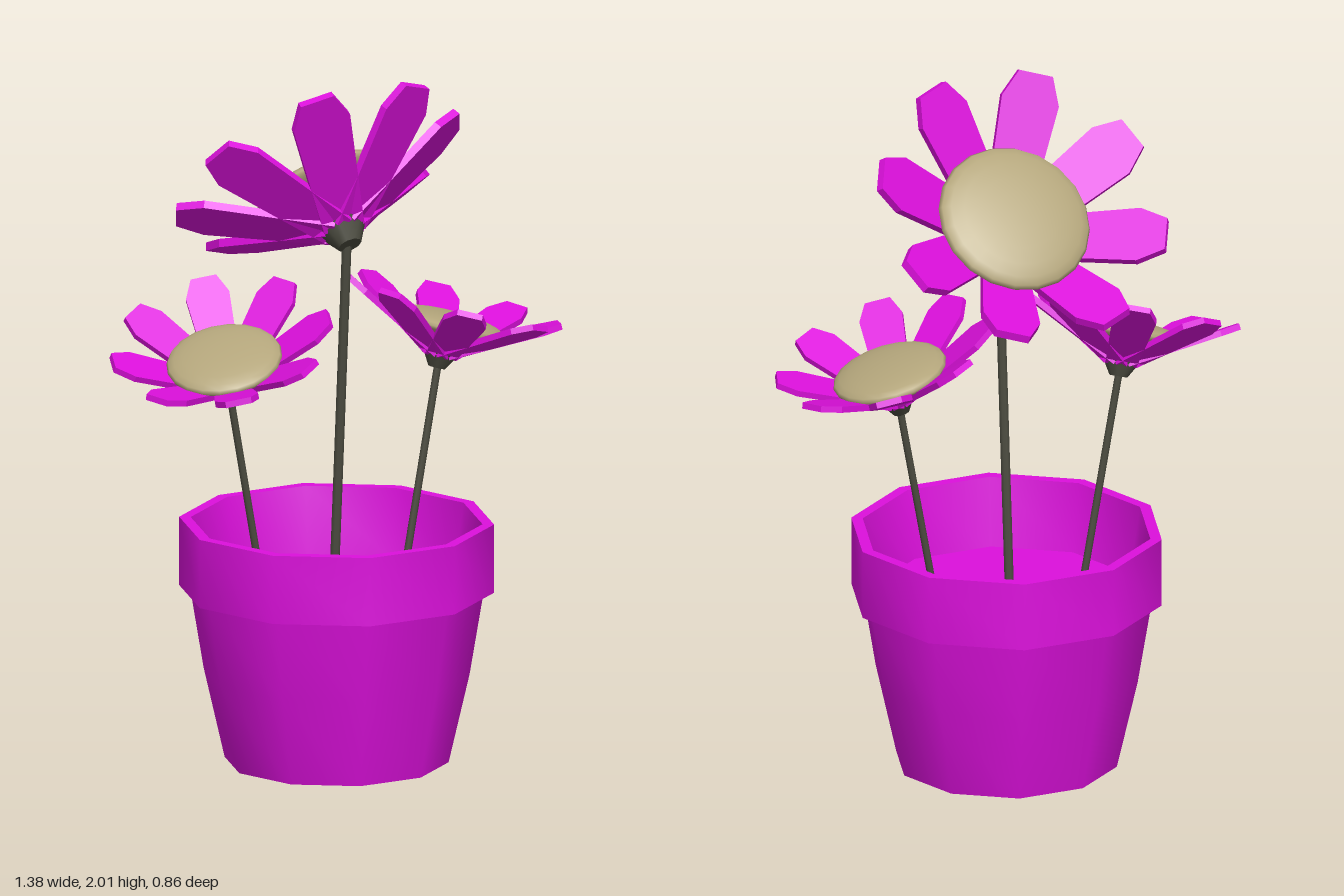
import * as THREE from 'three';
import { toCreasedNormals } from 'three/addons/utils/BufferGeometryUtils.js';

const material = (name, color) => {
  const m = new THREE.MeshStandardMaterial({ color });
  m.name = name;
  return m;
};
const magenta = material('magenta', 0xdc10dc);
const tan = material('tan', 0xb3a57b);
const olive = material('darkOlive', 0x4c4c40);
const UP = new THREE.Vector3(0, 1, 0);

function part(name, geometry, mat) {
  const mesh = new THREE.Mesh(geometry, mat);
  mesh.name = name;
  return mesh;
}

// Ten-sided pot with a rim, a hollow top and a soil floor
function makePot() {
  const profile = [
    [0, 0], [0.32, 0], [0.38, 0.26], [0.42, 0.5], [0.45, 0.5], [0.45, 0.7],
    [0.417, 0.7], [0.385, 0.5], [0, 0.5],
  ].map(([r, y]) => new THREE.Vector2(r, y));
  const lathe = new THREE.LatheGeometry(profile, 10, Math.PI / 2);
  const pot = part('pot', toCreasedNormals(lathe, 0.7), magenta);
  pot.position.x = 0.01;
  return pot;
}

// One petal lying along +x, widening outward to a clipped tip, lifted into a cup
function petalGeometry() {
  const outline = [[0, -0.06], [0.375, -0.085], [0.455, -0.05], [0.455, 0.05], [0.375, 0.085], [0, 0.06]];
  const shape = new THREE.Shape(outline.map(([x, y]) => new THREE.Vector2(x, y)));
  return new THREE.ExtrudeGeometry(shape, { depth: 0.024, bevelEnabled: false })
    .rotateX(-Math.PI / 2)
    .rotateZ(THREE.MathUtils.degToRad(28))
    .translate(0.03, 0.04, 0);
}

// Flower head: calyx, eight petals and a domed centre, facing along the axis
function makeHead(base, axis, scale, petal) {
  const head = new THREE.Group();
  head.name = 'flowerHead';
  const calyx = part('calyx', new THREE.CylinderGeometry(0.08, 0.035, 0.075, 10), olive);
  calyx.position.y = 0.035;
  head.add(calyx);
  for (let i = 0; i < 8; i++) {
    const p = part('petal', petal, magenta);
    p.rotation.y = (i + 0.5) * Math.PI / 4;
    head.add(p);
  }
  const centre = part('flowerCentre', new THREE.SphereGeometry(0.225, 20, 12), tan);
  centre.scale.y = 0.22;
  centre.position.y = 0.17;
  head.add(centre);
  head.position.copy(base);
  head.quaternion.setFromUnitVectors(UP, axis.clone().normalize());
  head.scale.setScalar(scale);
  return head;
}

// Straight thin stem between two points
function makeStem(from, to, radius) {
  const dir = to.clone().sub(from);
  const stem = part('stem', new THREE.CylinderGeometry(radius, radius, dir.length(), 8), olive);
  stem.position.copy(from).addScaledVector(dir, 0.5);
  stem.quaternion.setFromUnitVectors(UP, dir.normalize());
  return stem;
}

export function createModel() {
  const model = new THREE.Group();
  model.name = 'pottedFlowers';
  model.add(makePot());

  const flowers = [
    { name: 'tallFlower', root: [0, 0.48, 0], base: [0, 1.53, 0.09], axis: [0, 1, -1], scale: 1, r: 0.014 },
    { name: 'leftFlower', root: [0.225, 0.48, 0], base: [0.34, 1.11, 0], axis: [0.28, 0.96, 0], scale: 0.74, r: 0.011 },
    { name: 'rightFlower', root: [-0.225, 0.48, 0], base: [-0.34, 1.11, 0], axis: [-0.3, 0.92, 0.25], scale: 0.74, r: 0.011 },
  ];
  const petal = petalGeometry();
  for (const f of flowers) {
    const flower = new THREE.Group();
    flower.name = f.name;
    const base = new THREE.Vector3(...f.base);
    const axis = new THREE.Vector3(...f.axis);
    const stemTop = base.clone().addScaledVector(axis.clone().normalize(), 0.02);
    flower.add(makeStem(new THREE.Vector3(...f.root), stemTop, f.r));
    flower.add(makeHead(base, axis, f.scale, petal));
    model.add(flower);
  }
  return model;
}
